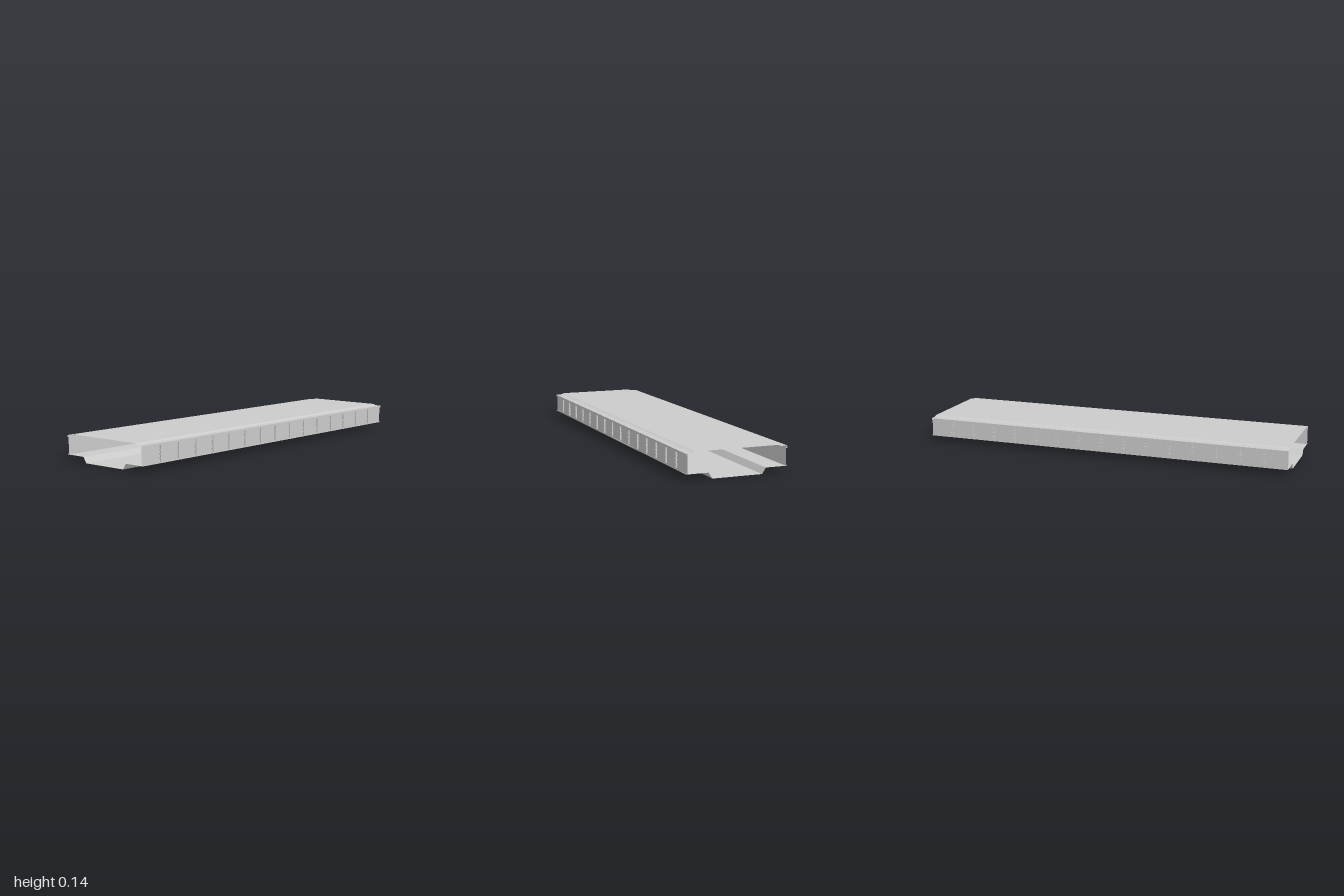
import * as THREE from 'three';

const LENGTH = 2;

const material = new THREE.MeshStandardMaterial({
  color: 0xcccccc, flatShading: true, side: THREE.DoubleSide,
});

// Thin sheet: a [z, y] profile swept along the whole length in x
function sheet(name, profile) {
  const positions = [];
  const index = [];
  profile.forEach(([z, y], i) => {
    positions.push(-LENGTH / 2, y, z, LENGTH / 2, y, z);
    if (i > 0) {
      const a = 2 * (i - 1);
      index.push(a, a + 1, a + 2, a + 1, a + 3, a + 2);
    }
  });
  const geometry = new THREE.BufferGeometry();
  geometry.setAttribute('position', new THREE.Float32BufferAttribute(positions, 3));
  geometry.setIndex(index);
  geometry.computeVertexNormals();
  const mesh = new THREE.Mesh(geometry, material);
  mesh.name = name;
  return mesh;
}

function box(name, size, position) {
  const mesh = new THREE.Mesh(new THREE.BoxGeometry(...size), material);
  mesh.name = name;
  mesh.position.set(...position);
  return mesh;
}

// Completes a half profile (edge to centre) with its mirror image
function mirrored(half) {
  return [...half, ...half.map(([z, y]) => [-z, y]).reverse()];
}

export function createModel() {
  const model = new THREE.Group();
  model.name = 'deckSegment';

  // Top skin with a shallow step and a lip at each edge
  model.add(sheet('topSkin', mirrored([
    [0.257, 0.117], [0.265, 0.117], [0.265, 0.128], [0.23, 0.129], [0.215, 0.135],
  ])));

  // Bottom skin with a dropped centre trough
  model.add(sheet('bottomSkin', mirrored([
    [0.265, 0.034], [0.265, 0.03], [0.15, 0.03], [0.13, 0],
  ])));

  for (const side of [1, -1]) {
    model.add(sheet(side > 0 ? 'frontWall' : 'backWall', [
      [side * 0.257, 0.03], [side * 0.257, 0.125],
    ]));

    // Upright ribs with three clips each
    const ribs = new THREE.Group();
    ribs.name = side > 0 ? 'frontRibs' : 'backRibs';
    for (let i = -7; i <= 7; i++) {
      const x = i * 0.125;
      ribs.add(box('rib', [0.008, 0.087, 0.007], [x, 0.08, side * 0.2605]));
      for (const y of [0.055, 0.077, 0.096]) {
        ribs.add(box('clip', [0.018, 0.005, 0.008], [x, y, side * 0.261]));
      }
    }
    model.add(ribs);
  }

  return model;
}
